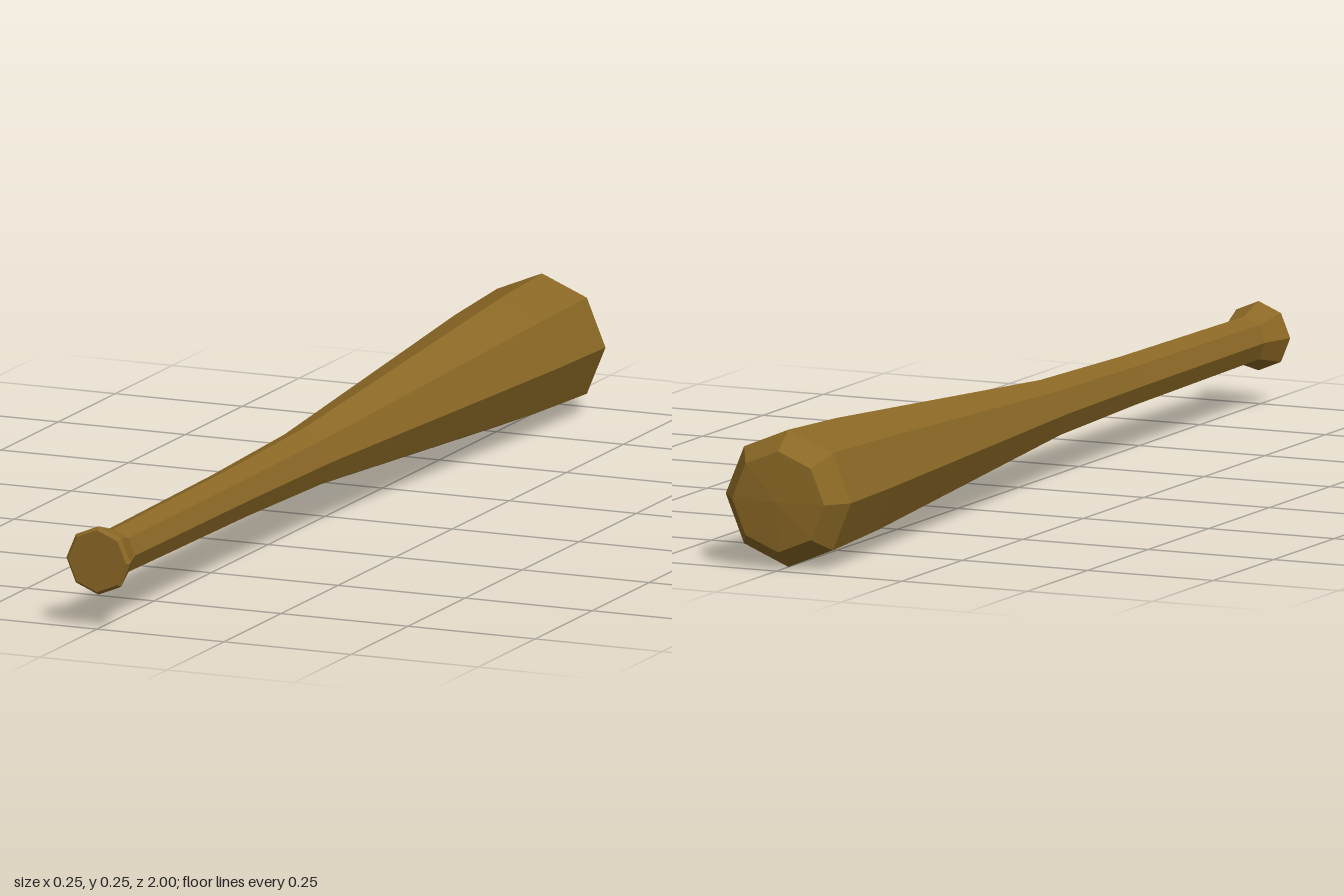
import * as THREE from 'three';

export function createModel() {
  const model = new THREE.Group();
  const wood = new THREE.MeshStandardMaterial({ color: 0x8b6825, flatShading: true });
  wood.name = 'wood';
  const axisHeight = 0.127;

  // Eight-sided turned part lying along z; profile is [radius, z] from back to front
  function turned(name, profile) {
    const points = profile.map(([r, z]) => new THREE.Vector2(r, z));
    const geometry = new THREE.LatheGeometry(points, 8);
    geometry.rotateX(Math.PI / 2);
    const mesh = new THREE.Mesh(geometry, wood);
    mesh.name = name;
    mesh.position.y = axisHeight;
    model.add(mesh);
  }

  // Slightly domed end with its chamfer
  turned('barrelEnd', [[0, -1], [0.092, -0.993], [0.125, -0.95]]);

  // Tapering barrel
  turned('barrel', [[0.125, -0.95], [0.116, -0.75], [0.057, 0.09]]);

  // Slim handle
  turned('handle', [[0.057, 0.09], [0.049, 0.42], [0.044, 0.93]]);

  // Flared knob with a small bevel around the flat end
  turned('knob', [[0.044, 0.93], [0.063, 0.993], [0.057, 1], [0, 1]]);

  return model;
}
